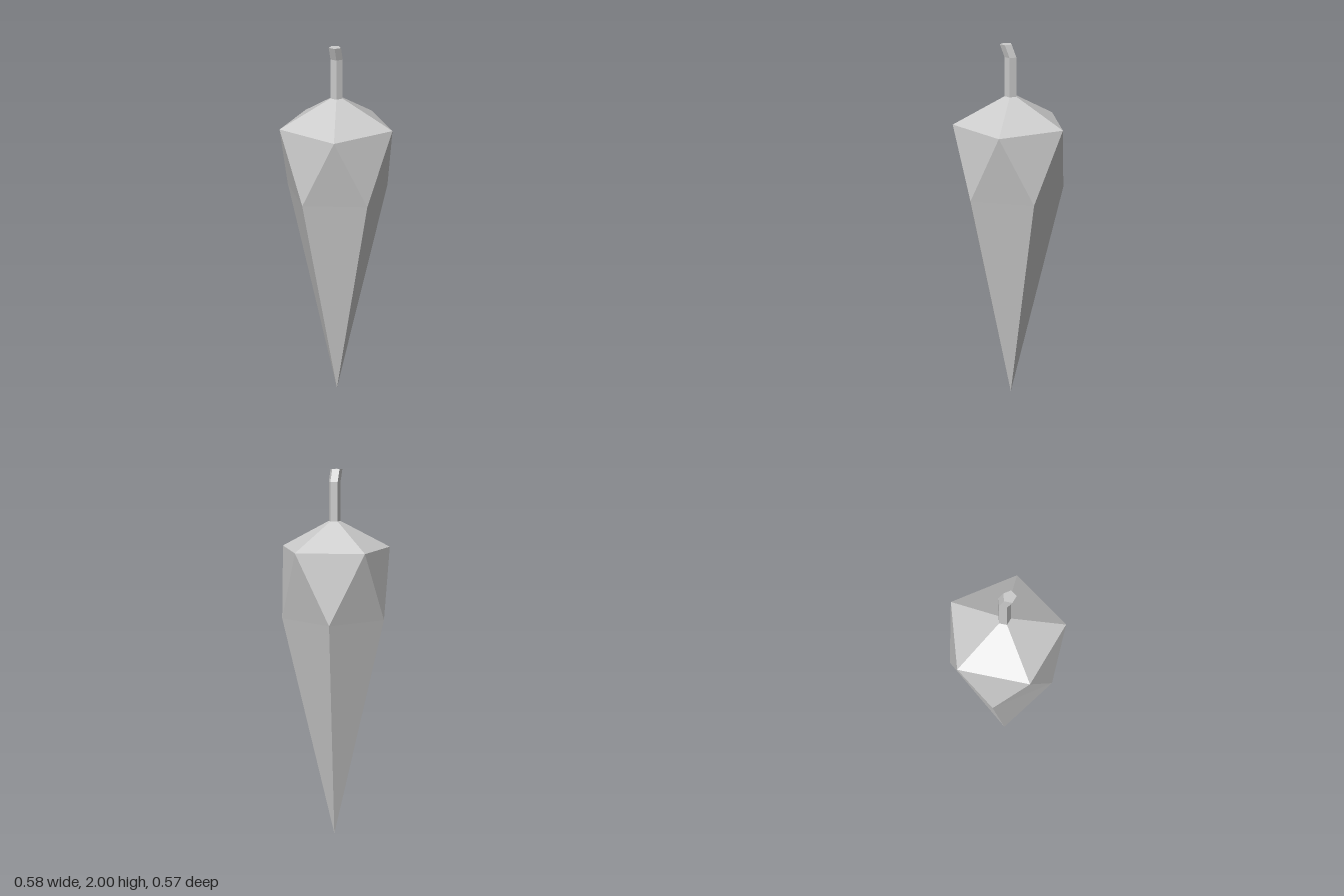
import * as THREE from 'three';

const SIDES = 5;
const AXIS_X = -0.01;

// Five-sided ring, turned by a fraction of one side and shifted along z
function ring(radius, y, turn = 0, shiftZ = 0) {
  return Array.from({ length: SIDES }, (_, i) => {
    const a = ((i + turn) / SIDES) * Math.PI * 2;
    return new THREE.Vector3(AXIS_X + radius * Math.cos(a), y, shiftZ - radius * Math.sin(a));
  });
}

// Calls add(low, nextLow, high, nextHigh) for every side between two rings
function eachSide(low, high, add) {
  for (let i = 0; i < SIDES; i++) {
    const j = (i + 1) % SIDES;
    add(low[i], low[j], high[i], high[j]);
  }
}

function facetedMesh(name, points) {
  const geometry = new THREE.BufferGeometry().setFromPoints(points);
  geometry.computeVertexNormals();
  const material = new THREE.MeshStandardMaterial({ color: 0xcccccc, flatShading: true });
  const mesh = new THREE.Mesh(geometry, material);
  mesh.name = name;
  return mesh;
}

export function createModel() {
  const group = new THREE.Group();
  group.name = 'taperedRoot';

  const tip = new THREE.Vector3(AXIS_X, 0, 0);
  const waist = ring(0.281, 1.232, 0.5);
  const shoulder = ring(0.3, 1.594);
  const neck = ring(0.032, 1.735);
  const bend = ring(0.032, 1.936);
  const end = ring(0.032, 2, 0, 0.024);

  // Root: long point, staggered triangles, sloping crown
  const root = [];
  eachSide(waist, shoulder, (a, b, c, d) => {
    root.push(tip, b, a);
    root.push(a, b, d);
    root.push(a, d, c);
  });
  eachSide(shoulder, neck, (a, b, c, d) => root.push(a, b, d, a, d, c));
  group.add(facetedMesh('root', root));

  // Stem: straight shaft, forward bend, flat cut end
  const stem = [];
  for (const [low, high] of [[neck, bend], [bend, end]]) {
    eachSide(low, high, (a, b, c, d) => stem.push(a, b, d, a, d, c));
  }
  for (let i = 1; i < SIDES - 1; i++) stem.push(end[0], end[i], end[i + 1]);
  group.add(facetedMesh('stem', stem));

  return group;
}
